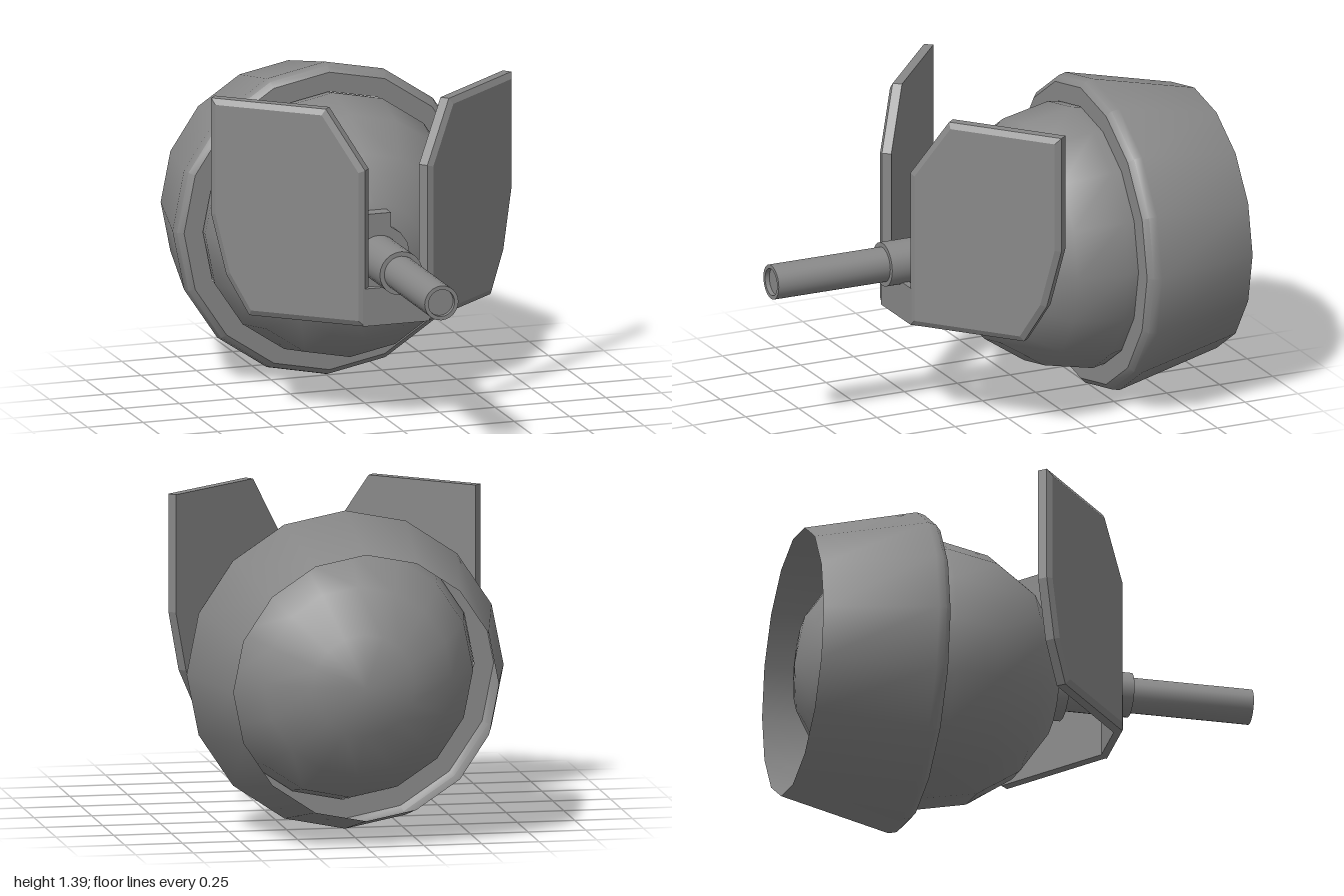
import * as THREE from 'three';
import { toCreasedNormals } from 'three/addons/utils/BufferGeometryUtils.js';

const AXIS_Y = 0.6875; // height of the barrel and ball axis

function material(side = THREE.FrontSide) {
  return new THREE.MeshStandardMaterial({ color: 0x888888, side });
}

// Turned part around the z axis; profile is [radius, z] from back to front
function turned(name, profile, segments, side) {
  const lathe = new THREE.LatheGeometry(profile.map(([r, z]) => new THREE.Vector2(r, z)), segments);
  lathe.rotateX(Math.PI / 2);
  const mesh = new THREE.Mesh(toCreasedNormals(lathe, 0.65), material(side));
  mesh.name = name;
  mesh.position.y = AXIS_Y;
  return mesh;
}

// Inset a convex counter-clockwise outline by distance k
function inset(outline, k) {
  const n = outline.length;
  const normal = (i) => {
    const a = outline[(i + n) % n], b = outline[(i + 1) % n];
    return new THREE.Vector2(a[1] - b[1], b[0] - a[0]).normalize();
  };
  return outline.map(([x, y], i) => {
    const p = normal(i - 1), q = normal(i);
    const s = k / (1 + p.dot(q));
    return [x + (p.x + q.x) * s, y + (p.y + q.y) * s];
  });
}

// Flat armour plate with a chamfer around its front face
function plateGeometry(outline, thickness, chamfer, bevelDepth) {
  const n = outline.length;
  const rings = [
    [outline, -thickness],
    [outline, -bevelDepth],
    [inset(outline, chamfer), 0],
  ];
  const positions = rings.flatMap(([pts, z]) => pts.flatMap(([x, y]) => [x, y, z]));
  const index = [];
  for (let r = 0; r < 2; r++) {
    for (let i = 0; i < n; i++) {
      const a = r * n + i, b = r * n + (i + 1) % n;
      index.push(a, b, b + n, a, b + n, a + n);
    }
  }
  for (let i = 1; i < n - 1; i++) {
    index.push(0, i + 1, i);
    index.push(2 * n, 2 * n + i, 2 * n + i + 1);
  }
  const g = new THREE.BufferGeometry();
  g.setAttribute('position', new THREE.Float32BufferAttribute(positions, 3));
  g.setIndex(index);
  return g;
}

// Wing of the shield, swept back from the centre; side is +1 or -1
function shieldWing(side) {
  const outline = [
    [0, 0.45], [0.53, 0.45], [0.635, 0.62], [0.704, 0.88],
    [0.704, 1.39], [0.18, 1.39], [0, 1.135],
  ];
  let g = plateGeometry(outline, 0.056, 0.025, 0.015);
  g.rotateY(0.705);
  g.translate(0.15, 0, 0.42);
  if (side < 0) {
    g.scale(-1, 1, 1);
    g.index.array.reverse(); // restore outward winding after mirroring
  }
  g = g.toNonIndexed();
  g.computeVertexNormals();
  const mesh = new THREE.Mesh(g, material());
  mesh.name = side > 0 ? 'leftShieldWing' : 'rightShieldWing';
  return mesh;
}

// Low strip joining the two wings below the barrel
function shieldBridge() {
  const plan = new THREE.Shape([
    [-0.15, -0.409], [0.15, -0.409], [0.114, -0.377], [-0.114, -0.377],
  ].map(([x, y]) => new THREE.Vector2(x, y)));
  const g = new THREE.ExtrudeGeometry(plan, { depth: 0.165, bevelEnabled: false });
  g.rotateX(-Math.PI / 2);
  g.translate(0, 0.45, 0);
  const mesh = new THREE.Mesh(g, material());
  mesh.name = 'shieldBridge';
  return mesh;
}

export function createModel() {
  const model = new THREE.Group();
  model.name = 'shieldedBallTurret';

  // Ball with a flattened front, in rings of 22.5 degrees
  const R = 0.577, centreZ = -0.415;
  const ball = [];
  for (let i = 0; i <= 7; i++) {
    const a = (i * Math.PI) / 8;
    ball.push([R * Math.sin(a), centreZ - R * Math.cos(a)]);
  }
  ball.push([0, ball[7][1] + 0.005]);
  model.add(turned('ball', ball, 16));

  // Open housing behind the ball, with a rounded front rim
  model.add(turned('housing', [
    [0.575, -1], [0.6875, -0.52], [0.679, -0.485], [0.655, -0.463], [0.57, -0.463],
  ], 16, THREE.DoubleSide));

  // Barrel with its mount
  model.add(turned('mountDisc', [[0, 0.1], [0.14, 0.1], [0.14, 0.182], [0, 0.182]], 16));
  model.add(turned('barrelSleeve', [[0.096, 0.16], [0.096, 0.473], [0.06, 0.473]], 24));
  model.add(turned('barrel', [
    [0.076, 0.46], [0.076, 1], [0.059, 1], [0.059, 0.98], [0, 0.98],
  ], 24));
  const tab = new THREE.Mesh(new THREE.BoxGeometry(0.11, 0.12, 0.09), material());
  tab.name = 'mountTab';
  tab.position.set(0, 0.82, 0.137);
  model.add(tab);

  // Shield
  const shield = new THREE.Group();
  shield.name = 'shield';
  shield.add(shieldWing(1), shieldWing(-1), shieldBridge());
  model.add(shield);

  return model;
}
